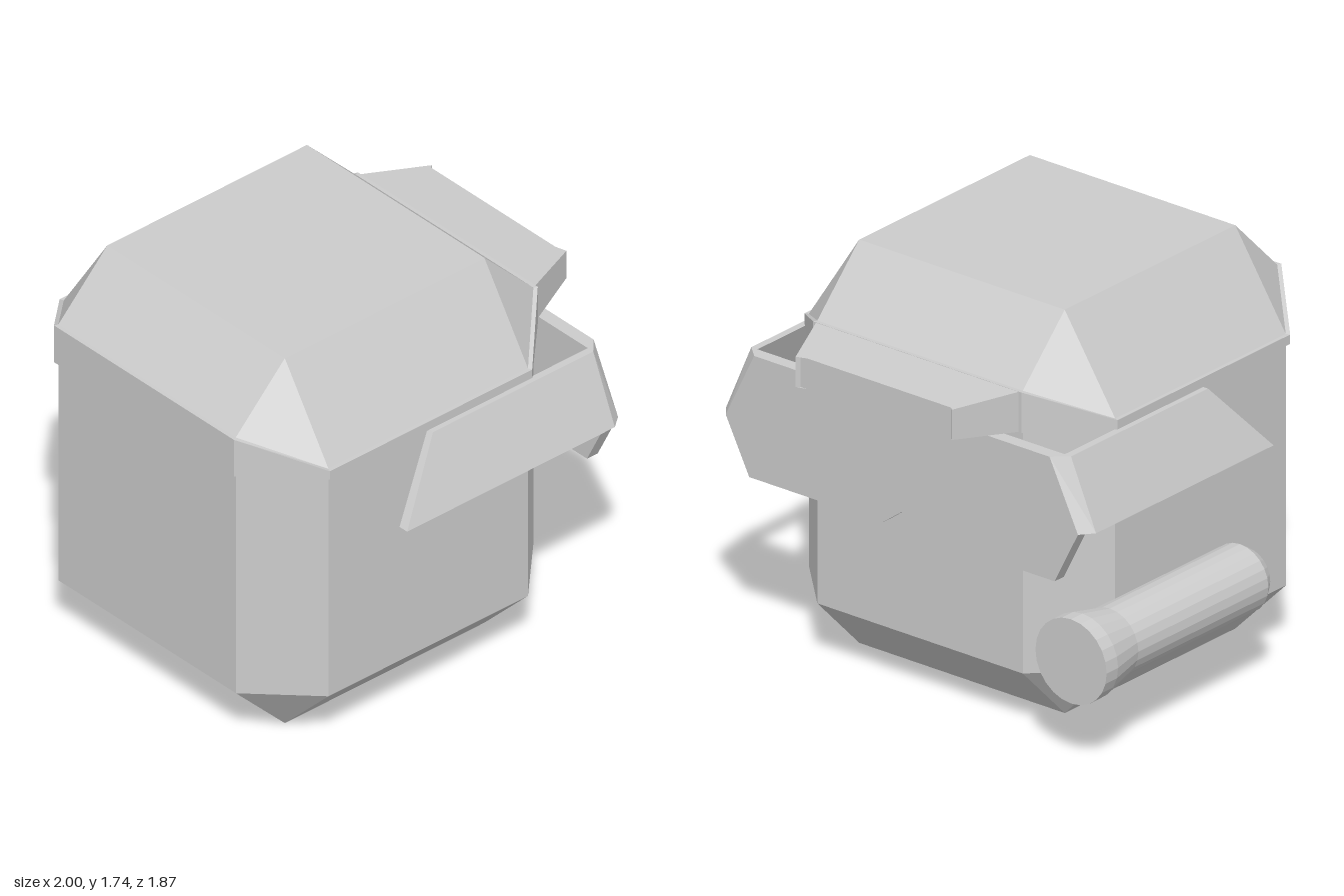
import * as THREE from 'three';

const material = new THREE.MeshStandardMaterial({ color: 0xcccccc, flatShading: true, side: THREE.DoubleSide });

// Skins a list of equal-length rings; rings run counter-clockwise around the loft direction
function loft(rings, caps = true) {
  const out = [];
  const a = new THREE.Vector3(), b = new THREE.Vector3(), c = new THREE.Vector3();
  const tri = (p, q, r) => {
    a.fromArray(p); b.fromArray(q); c.fromArray(r);
    if (b.sub(a).cross(c.sub(a)).length() > 1e-7) out.push(...p, ...q, ...r);
  };
  const n = rings[0].length;
  for (let k = 0; k < rings.length - 1; k++) {
    const lo = rings[k], hi = rings[k + 1];
    for (let i = 0; i < n; i++) {
      const j = (i + 1) % n;
      tri(lo[i], lo[j], hi[j]);
      tri(lo[i], hi[j], hi[i]);
    }
  }
  if (caps) {
    const first = rings[0], last = rings[rings.length - 1];
    for (let i = 1; i < n - 1; i++) {
      tri(first[0], first[i + 1], first[i]);
      tri(last[0], last[i], last[i + 1]);
    }
  }
  const geometry = new THREE.BufferGeometry();
  geometry.setAttribute('position', new THREE.Float32BufferAttribute(out, 3));
  geometry.computeVertexNormals();
  return geometry;
}

// Chamfered square: reach = distance to each face, edge = half length of each face
function octagon(reach, edge, yEnds, ySides = yEnds) {
  return [
    [-edge, yEnds, reach], [edge, yEnds, reach],
    [reach, ySides, edge], [reach, ySides, -edge],
    [edge, yEnds, -reach], [-edge, yEnds, -reach],
    [-reach, ySides, -edge], [-reach, ySides, edge],
  ];
}

export function createModel() {
  const model = new THREE.Group();
  model.name = 'backpack';
  const add = (name, geometry) => {
    const mesh = new THREE.Mesh(geometry, material);
    mesh.name = name;
    model.add(mesh);
    return mesh;
  };

  const EDGE = 0.525, REACH = 0.783, RIM = 0.8, RIM_EDGE = 0.532;

  // Chamfered bag
  add('bag', loft([
    octagon(EDGE, EDGE, 0),
    octagon(REACH, EDGE, 0.26),
    octagon(REACH, EDGE, 1.32),
  ]));

  // Lid with sloping faces, lower at the sides
  add('lid', loft([
    octagon(REACH, EDGE, 1.31),
    octagon(REACH, EDGE, 1.48, 1.345),
    octagon(EDGE, EDGE, 1.74),
  ]));

  // Thin rim around the lid
  add('lidRim', loft([
    octagon(REACH, EDGE, 1.305),
    octagon(RIM, RIM_EDGE, 1.305),
    octagon(RIM, RIM_EDGE, 1.48, 1.345),
    octagon(REACH, EDGE, 1.48, 1.345),
  ], false));

  // Tapered flap behind the lid, its side walls ending in small tips
  const plan = [[-0.525, -0.783], [0.525, -0.783], [0.398, -1.07], [0.385, -1.055], [-0.385, -1.055], [-0.398, -1.07]];
  const flapRing = (yRoot, yTip) => plan.map(([x, z]) =>
    [x, THREE.MathUtils.mapLinear(z, -0.783, -1.07, yRoot, yTip), z]);
  add('backFlap', loft([flapRing(1.305, 1.33), flapRing(1.48, 1.46)]));

  // Leaning collar wrapped around the sides and back: [top, bottom] of outer and inner skin
  const station = (side, outX, outZ, inX, inZ) => [
    [side * outX[0], 1.3, outZ[0]], [side * outX[1], 1.005, outZ[1]],
    [side * inX[1], 1.005, inZ[1]], [side * inX[0], 1.3, inZ[0]],
  ];
  const outer = [0.817, 0.945], inner = [0.785, 0.9], back = [0.755, 0.9];
  const frontZ = [0.005, 0.255], cornerZ = [-0.838, -0.838], backZ = [-0.895, -0.895];
  const half = (side) => [
    station(side, outer, frontZ, inner, frontZ),
    station(side, outer, cornerZ, inner, cornerZ),
    station(side, back, backZ, back, cornerZ),
  ];
  add('collar', loft([...half(1), ...half(-1).reverse()]));

  // Lower back board with a notch in its bottom edge
  const board = new THREE.Shape([
    [-0.9, 1.005], [-0.78, 0.77], [-0.1, 0.77], [0, 0.845],
    [0.1, 0.77], [0.78, 0.77], [0.9, 1.005],
  ].map(([x, y]) => new THREE.Vector2(x, y)));
  add('backBoard', new THREE.ExtrudeGeometry(board, { depth: 0.057, bevelEnabled: false })).position.z = -0.895;

  // Flared canister lying along the right side
  const profile = [[0, -0.905], [0.182, -0.905], [0.182, -0.835], [0.145, -0.665], [0.145, 0.135], [0.113, 0.185], [0, 0.185]];
  const canister = new THREE.LatheGeometry(profile.map(([r, y]) => new THREE.Vector2(r, y)), 24);
  canister.rotateX(Math.PI / 2);
  add('canister', canister).position.set(-0.873, 0.455, 0);

  // Centre the whole, canister and flap included
  for (const part of model.children) part.position.add(new THREE.Vector3(0.055, 0, 0.135));
  return model;
}
